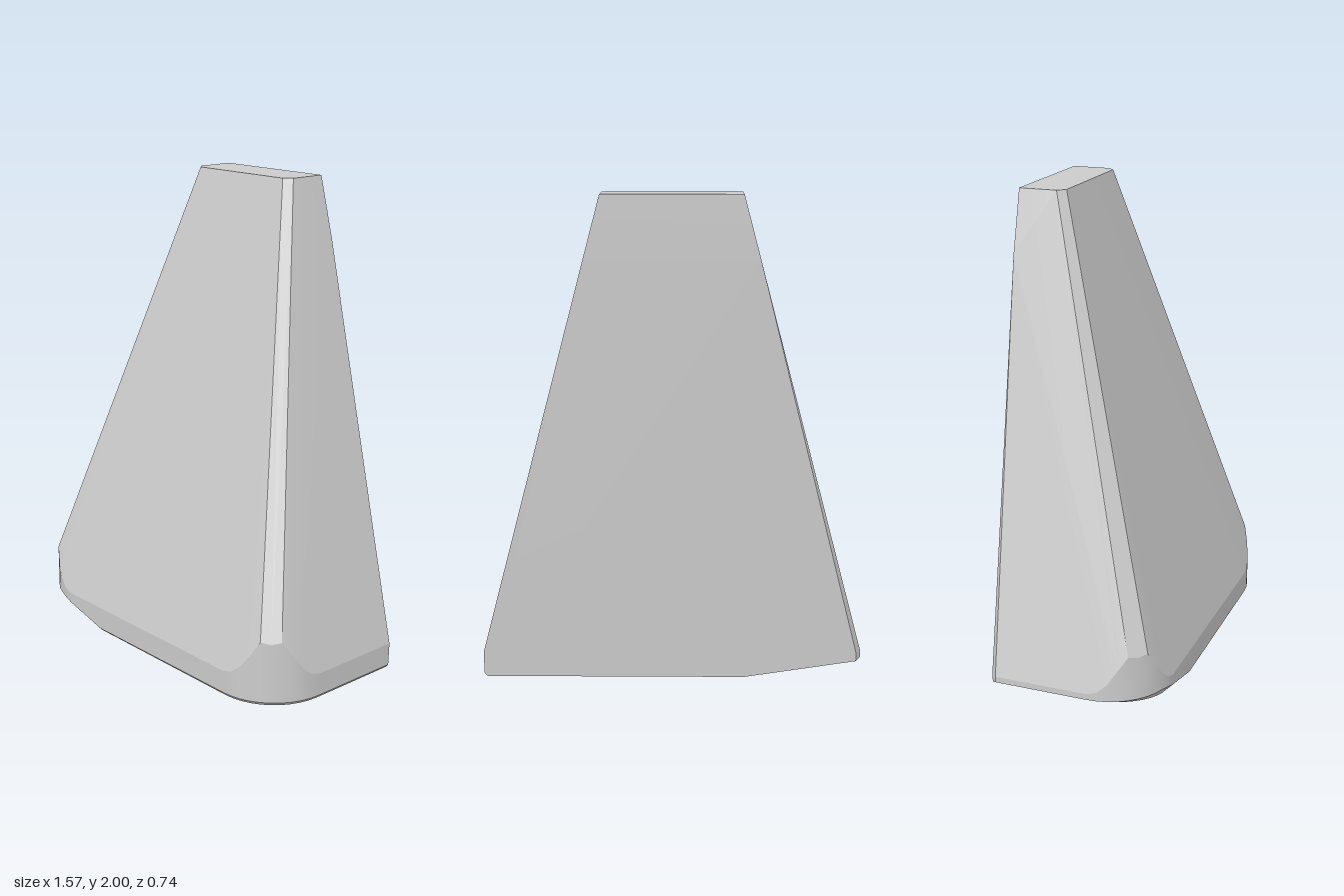
import * as THREE from 'three';
import { ConvexGeometry } from 'three/addons/geometries/ConvexGeometry.js';
import { toCreasedNormals } from 'three/addons/utils/BufferGeometryUtils.js';

const HALF_W = 0.785, FRONT = 0.37, BACK = -0.315, RADIUS = 0.27;
const CUT_X = -0.3; // the underside rises from here towards -x

// Height where the leaning front, side and corner faces meet the upright foot
function shoulder(x, z) {
  const ax = Math.abs(x);
  const front = 0.11 + (FRONT - z) * 3.436;
  const side = 0.11 + (HALF_W - ax) * 3.74;
  const corner = 0.26 + (1.0 - ax - z) * 1.87;
  return Math.min(front, side, corner);
}

// Rounded front corner of the foot, shrunk by an inset
function cornerArc(sign, inset, steps = 10) {
  const pts = [];
  for (let i = 0; i <= steps; i++) {
    const a = (i / steps) * Math.PI / 2;
    const r = RADIUS - inset;
    pts.push([sign * (HALF_W - RADIUS + r * Math.cos(a)), FRONT - RADIUS + r * Math.sin(a)]);
  }
  return pts;
}

export function createModel() {
  const points = [];
  const add = (x, y, z) => points.push(new THREE.Vector3(x, y, z));

  for (const s of [-1, 1]) {
    // Flat top with clipped front corners
    add(s * 0.28, 2, -0.37);
    add(s * 0.28, 2, -0.21);
    add(s * 0.25, 2, -0.18);
    // Slight bend near the top of the back
    add(s * 0.347, 1.75, -0.37);
    // Upper rim of the foot
    for (const [x, z] of cornerArc(s, 0)) add(x, shoulder(x, z), z);
    // Lower rim and the inset edge of the underside
    for (const [x, z] of cornerArc(s, 0)) {
      add(x, s > 0 ? 0.015 : Math.min(0.085, (CUT_X - x) * 0.3), z);
    }
    for (const [x, z] of cornerArc(s, s > 0 ? 0.012 : 0.03)) {
      add(x, s > 0 ? 0 : (CUT_X - x) * 0.155, z);
    }
  }

  // Square back corner on +x
  add(HALF_W, 0.11, BACK - 0.003);
  add(HALF_W, 0.015, BACK);
  add(HALF_W - 0.012, 0, BACK);

  // Clipped back corner on -x, above the raised underside
  add(-HALF_W, 0.11, -0.295);
  add(-HALF_W, 0.085, -0.295);
  add(-HALF_W + 0.02, 0.11, BACK - 0.003);
  add(-HALF_W + 0.02, 0.073, BACK - 0.002);

  // Line where the underside starts to rise
  add(CUT_X, 0, FRONT - 0.012);
  add(CUT_X, 0.012, FRONT);
  add(CUT_X, 0, BACK);

  const geometry = toCreasedNormals(new ConvexGeometry(points), 0.25);
  const body = new THREE.Mesh(geometry, new THREE.MeshStandardMaterial({ color: 0xcccccc }));
  body.name = 'taperedBody';

  const model = new THREE.Group();
  model.name = 'taperedBlock';
  model.add(body);
  return model;
}
